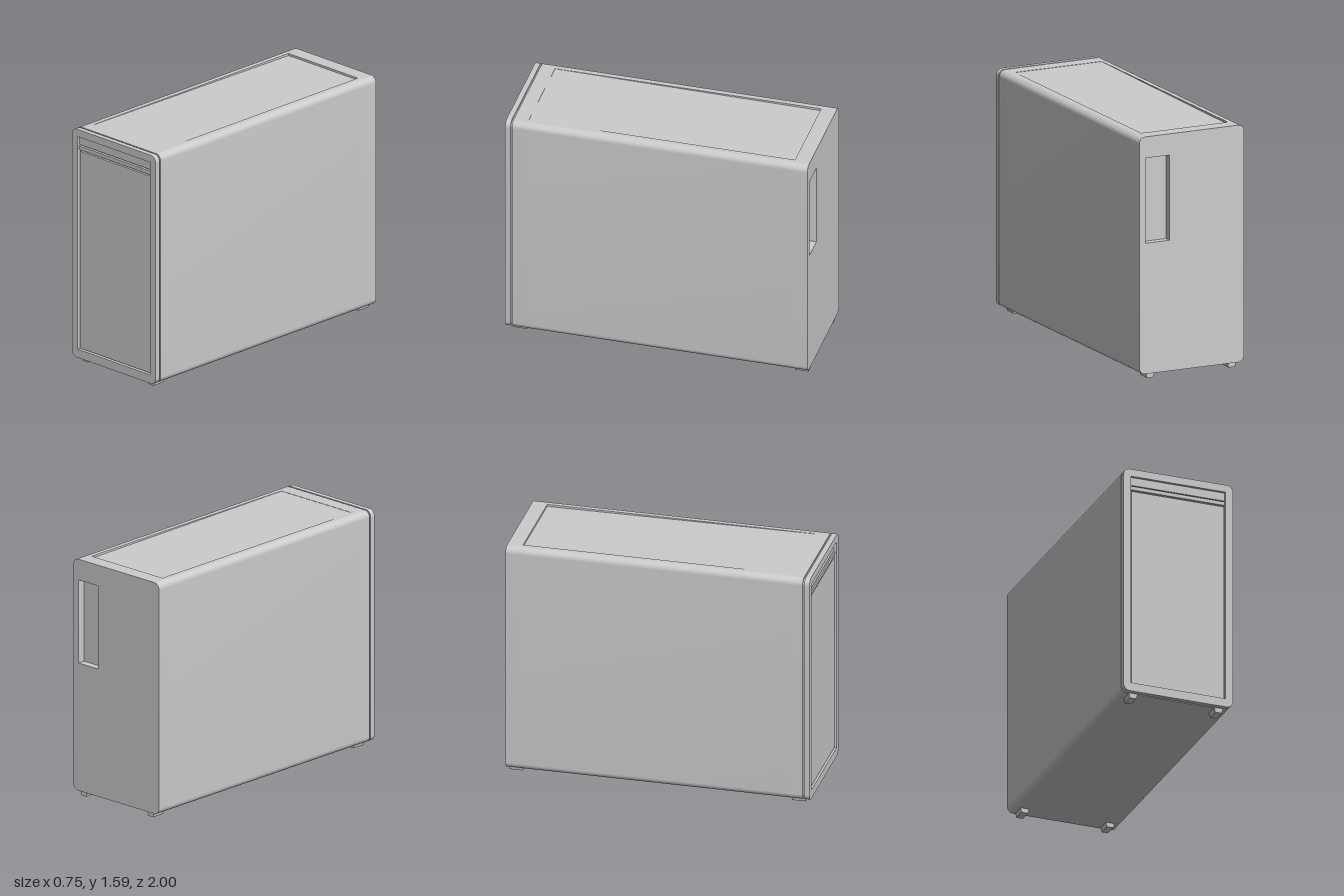
import * as THREE from 'three';
import { toCreasedNormals } from 'three/addons/utils/BufferGeometryUtils.js';

const material = new THREE.MeshStandardMaterial({ color: 0xcccccc });
const W = 0.375, BOTTOM = 0.03, TOP = 1.59, R = 0.042;

// Rounded upright outline, optionally inset and with a shallow notch in its top edge
function outline(inset = 0, notchHalf = 0, notchDepth = 0) {
  const w = W - inset, b = BOTTOM + inset, t = TOP - inset, r = R - inset;
  const s = new THREE.Shape();
  s.moveTo(-w + r, b);
  s.lineTo(w - r, b);
  s.absarc(w - r, b + r, r, -Math.PI / 2, 0);
  s.lineTo(w, t - r);
  s.absarc(w - r, t - r, r, 0, Math.PI / 2);
  if (notchDepth) {
    s.lineTo(notchHalf, t);
    s.lineTo(notchHalf, t - notchDepth);
    s.lineTo(-notchHalf, t - notchDepth);
    s.lineTo(-notchHalf, t);
  }
  s.lineTo(-w + r, t);
  s.absarc(-w + r, t - r, r, Math.PI / 2, Math.PI);
  s.lineTo(-w, b + r);
  s.absarc(-w + r, b + r, r, Math.PI, Math.PI * 1.5);
  return s;
}

function polygon(points, Type = THREE.Shape) {
  return new Type(points.map(([x, y]) => new THREE.Vector2(x, y)));
}

const rectHole = (x0, x1, y0, y1) =>
  polygon([[x0, y0], [x0, y1], [x1, y1], [x1, y0]], THREE.Path);

// Extrudes a shape between two depths, keeping rounded corners smooth
function slab(name, shape, z0, z1) {
  const g = new THREE.ExtrudeGeometry(shape, { depth: z1 - z0, bevelEnabled: false, curveSegments: 10 });
  g.translate(0, 0, z0);
  const mesh = new THREE.Mesh(toCreasedNormals(g, 0.5), material);
  mesh.name = name;
  return mesh;
}

function block(name, x0, x1, y0, y1, z0, z1) {
  const mesh = new THREE.Mesh(new THREE.BoxGeometry(x1 - x0, y1 - y0, z1 - z0), material);
  mesh.position.set((x0 + x1) / 2, (y0 + y1) / 2, (z0 + z1) / 2);
  mesh.name = name;
  return mesh;
}

export function createModel() {
  const model = new THREE.Group();
  model.name = 'computerTower';

  // Case shell, with a connector recess at the back and a shallow tray on top
  const shell = new THREE.Group();
  shell.name = 'caseShell';
  const back = outline();
  back.holes.push(rectHole(0.16, 0.33, 0.89, 1.45));
  const trayBack = -0.9, trayFront = 0.86, trayHalf = 0.31, trayDepth = 0.016;
  shell.add(
    slab('backPanel', back, -1, -0.95),
    slab('rearShell', outline(), -0.95, trayBack),
    slab('middleShell', outline(0, trayHalf, trayDepth), trayBack, trayFront),
    slab('frontShell', outline(), trayFront, 0.955),
    slab('seam', outline(0.012), 0.95, 0.972)
  );
  model.add(shell);

  // Top tray floor, sloping down towards the back
  const floorY = TOP - trayDepth;
  const wedge = polygon([[-trayFront, floorY], [-trayBack, floorY],
    [-trayBack, floorY + 0.002], [-trayFront, TOP - 0.002]]);
  const tray = slab('topPanel', wedge, -trayHalf, trayHalf);
  tray.rotation.y = Math.PI / 2;
  model.add(tray);

  // Front frame and the panels set inside it
  const front = new THREE.Group();
  front.name = 'frontPanel';
  const frame = outline();
  frame.holes.push(rectHole(-0.325, 0.325, 0.088, 1.54));
  front.add(
    slab('frontFrame', frame, 0.965, 1),
    block('frontDoor', -0.317, 0.317, 0.094, 1.44, 0.96, 0.988),
    block('dividerBar', -0.322, 0.322, 1.45, 1.475, 0.96, 0.99),
    block('driveCover', -0.322, 0.322, 1.483, 1.538, 0.96, 0.985)
  );
  model.add(front);

  // Four tapered feet
  const foot = polygon([[-0.022, 0], [0.022, 0], [0.03, BOTTOM + 0.002], [-0.03, BOTTOM + 0.002]]);
  for (const x of [-0.293, 0.293]) {
    for (const z of [-0.945, 0.915]) {
      const mesh = slab('foot', foot, -0.045, 0.045);
      mesh.position.set(x, 0, z);
      model.add(mesh);
    }
  }
  return model;
}
